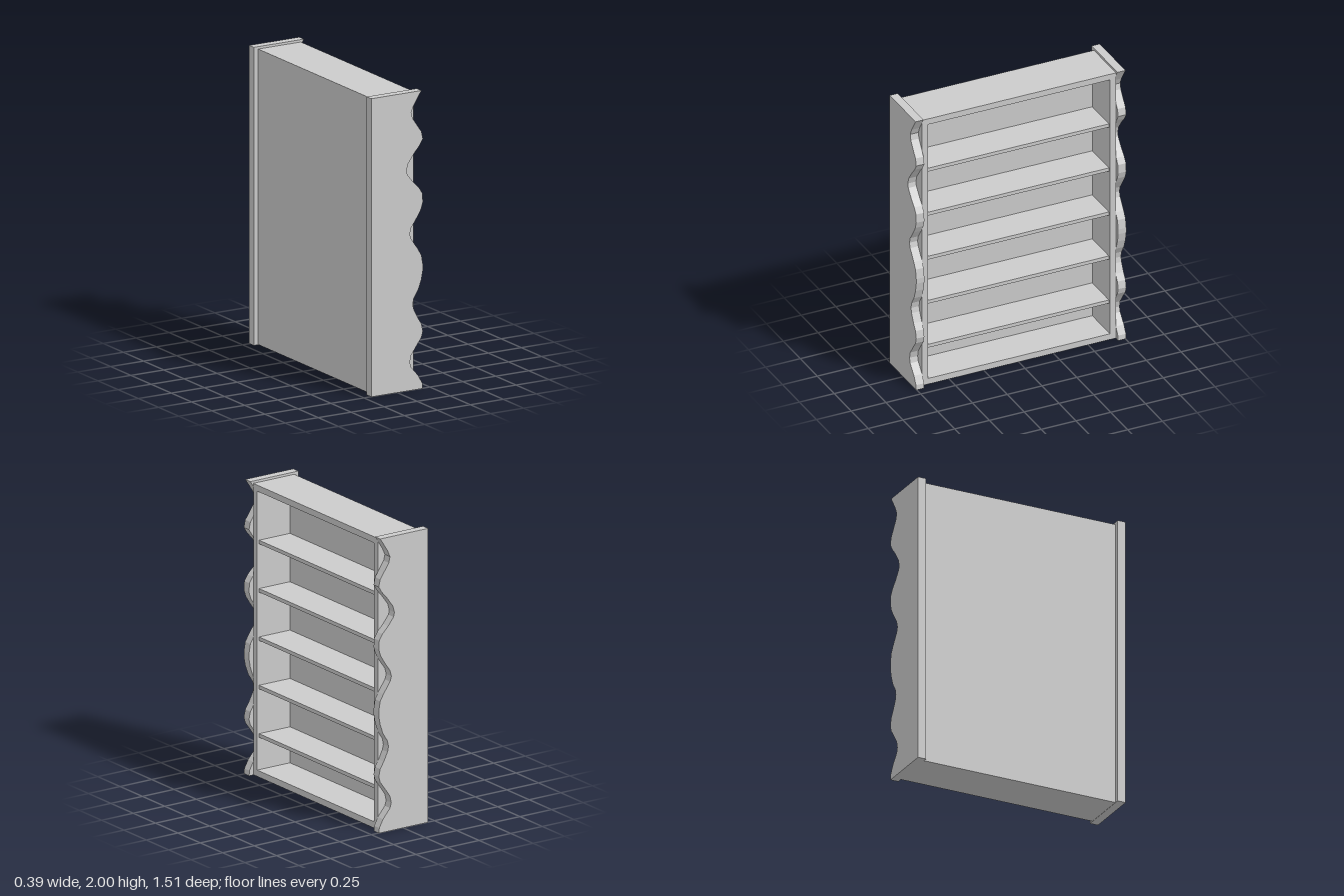
import * as THREE from 'three';

// Scalloped front edge of a side panel, bottom to top: [x, y]
const EDGE = [
  [0.193, 0], [0.19, 0.035], [0.16, 0.09], [0.105, 0.155], [0.095, 0.19], [0.105, 0.235],
  [0.15, 0.3], [0.183, 0.345], [0.194, 0.385], [0.183, 0.435], [0.155, 0.48], [0.125, 0.54],
  [0.117, 0.575], [0.125, 0.615], [0.16, 0.67], [0.183, 0.735], [0.194, 0.795], [0.194, 0.83],
  [0.183, 0.895], [0.157, 0.94], [0.105, 1.015], [0.094, 1.05], [0.105, 1.09], [0.15, 1.155],
  [0.18, 1.205], [0.194, 1.25], [0.19, 1.31], [0.165, 1.35], [0.12, 1.395], [0.077, 1.45],
  [0.07, 1.48], [0.083, 1.525], [0.13, 1.59], [0.17, 1.635], [0.194, 1.675], [0.183, 1.725],
  [0.155, 1.765], [0.115, 1.825], [0.105, 1.865], [0.125, 1.91], [0.16, 1.965], [0.183, 2],
];

export function createModel() {
  const group = new THREE.Group();
  const material = new THREE.MeshStandardMaterial({ color: 0xcccccc });

  const add = (name, geometry) => {
    const mesh = new THREE.Mesh(geometry, material);
    mesh.name = name;
    group.add(mesh);
    return mesh;
  };
  // Box given by its limits on each axis
  const box = (name, [x0, x1], [y0, y1], [z0, z1]) =>
    add(name, new THREE.BoxGeometry(x1 - x0, y1 - y0, z1 - z0))
      .position.set((x0 + x1) / 2, (y0 + y1) / 2, (z0 + z1) / 2);

  const back = -0.164, front = 0.16, inner = -0.1;
  const halfWidth = 0.697, halfOpening = 0.654;
  const top = 1.984, openBottom = 0.045, openTop = 1.942;

  // Case: one rectangular frame with a hole, open toward +x
  const frame = new THREE.Shape([
    new THREE.Vector2(-halfWidth, 0.002), new THREE.Vector2(halfWidth, 0.002),
    new THREE.Vector2(halfWidth, top), new THREE.Vector2(-halfWidth, top),
  ]);
  frame.holes.push(new THREE.Path([
    new THREE.Vector2(-halfOpening, openBottom), new THREE.Vector2(-halfOpening, openTop),
    new THREE.Vector2(halfOpening, openTop), new THREE.Vector2(halfOpening, openBottom),
  ]));
  const frameGeometry = new THREE.ExtrudeGeometry(frame, { depth: front - back, bevelEnabled: false });
  frameGeometry.rotateY(Math.PI / 2).translate(back, 0, 0);
  add('caseFrame', frameGeometry);
  box('backPanel', [back, inner], [openBottom, openTop], [-halfOpening, halfOpening]);

  // Five evenly spaced shelves, set slightly behind the frame
  for (let i = 0; i < 5; i++) {
    const y = 0.265 + i * 0.329;
    box(`shelf${i + 1}`, [inner, front - 0.015], [y, y + 0.025], [-halfOpening, halfOpening]);
  }

  // Two side panels with the wavy front edge
  const panelShape = new THREE.Shape([
    new THREE.Vector2(-0.197, 0),
    ...EDGE.map(([x, y]) => new THREE.Vector2(x, y)),
    new THREE.Vector2(-0.197, 2),
  ]);
  const thickness = 0.058;
  const panelGeometry = new THREE.ExtrudeGeometry(panelShape, { depth: thickness, bevelEnabled: false });
  add('leftEndPanel', panelGeometry).position.z = -halfWidth - thickness;
  add('rightEndPanel', panelGeometry).position.z = halfWidth;

  return group;
}
